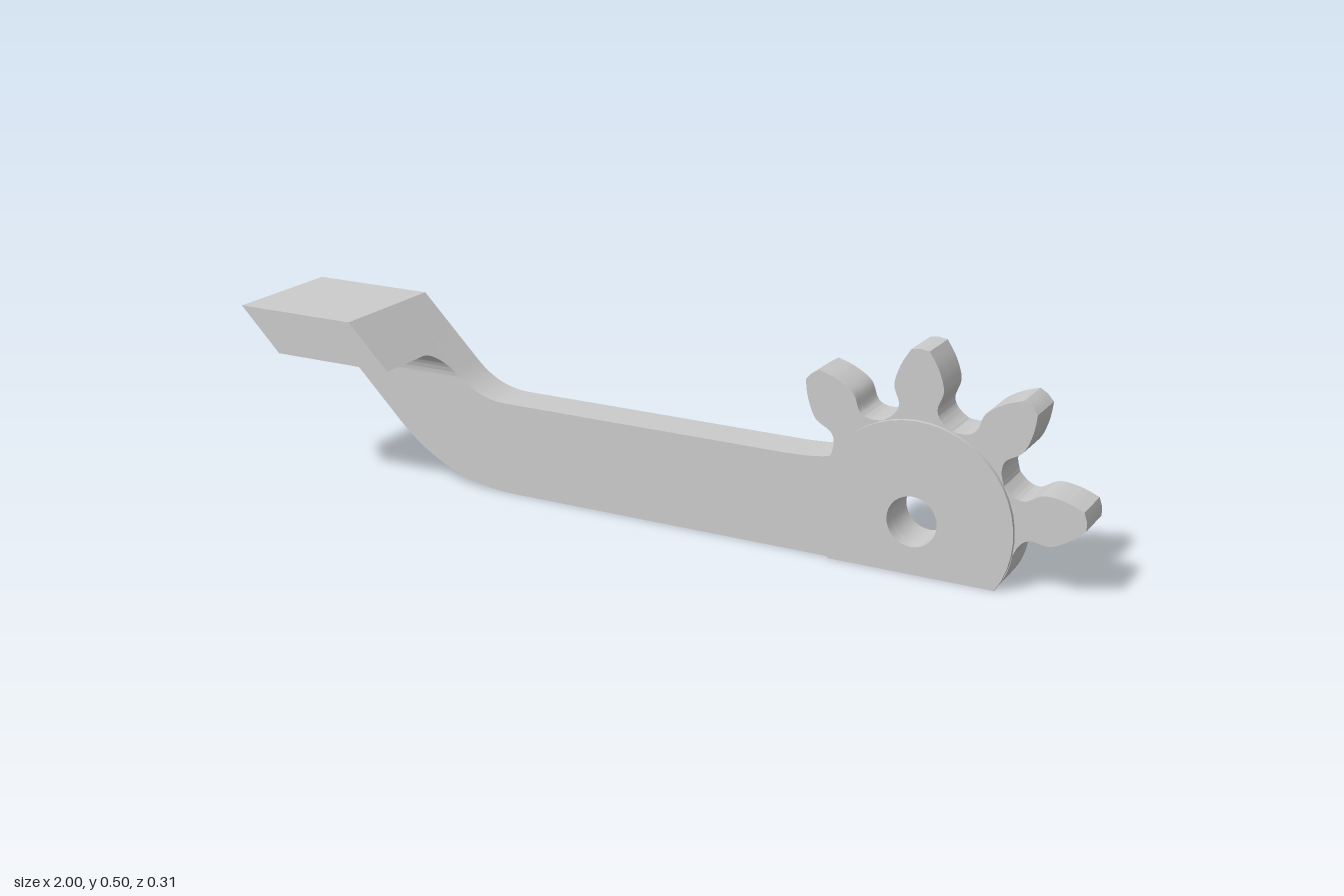
import * as THREE from 'three';
import { toCreasedNormals } from 'three/addons/utils/BufferGeometryUtils.js';

const HUB = new THREE.Vector2(0.622, 0.12);
const ROOT_R = 0.225;
const BACK = -0.154, FRONT = -0.05, POCKET_FLOOR = -0.075, BOSS_FRONT = -0.04;
const material = new THREE.MeshStandardMaterial({ color: 0xcccccc });

// Point at a radius and sideways offset on a tooth pointing along angle
function polar(angle, r, side = 0) {
  return new THREE.Vector2(r, side).rotateAround(new THREE.Vector2(), angle).add(HUB);
}

function makeMesh(name, geometry) {
  const mesh = new THREE.Mesh(toCreasedNormals(geometry, 0.5), material);
  mesh.name = name;
  return mesh;
}

function slab(name, shape, z0, z1) {
  const geo = new THREE.ExtrudeGeometry(shape, { depth: z1 - z0, bevelEnabled: false, curveSegments: 16 });
  return makeMesh(name, geo.translate(0, 0, z0));
}

function addAxleHole(shape) {
  shape.holes.push(new THREE.Path().absarc(HUB.x, HUB.y, 0.057, 0, Math.PI * 2, true));
}

// Both flanks of one tooth, from valley to valley
function toothPoints(angle) {
  const half = Math.PI / 9;
  const flank = [
    [ROOT_R * Math.cos(half), ROOT_R * Math.sin(half)],
    [0.23, 0.053], [0.255, 0.043], [0.295, 0.055], [0.34, 0.042], [0.377, 0.02],
  ];
  const side = (s) => new THREE.SplineCurve(flank.map(([r, w]) => polar(angle, r, s * w))).getPoints(25);
  return [...side(-1), polar(angle, 0.38), ...side(1).reverse()];
}

// Bent arm and toothed end as one outline
function armShape() {
  const shape = new THREE.Shape();
  shape.moveTo(-1, 0.43);
  shape.lineTo(-0.704, 0.134);
  shape.quadraticCurveTo(-0.57, 0, -0.38, 0);
  shape.lineTo(0.81, 0);
  const valley = polar(-Math.PI / 18, ROOT_R);
  shape.quadraticCurveTo(0.838, 0.035, valley.x, valley.y);
  for (const deg of [10, 50, 90, 130]) {
    for (const p of toothPoints(THREE.MathUtils.degToRad(deg)).slice(deg === 10 ? 1 : 0)) {
      if (p.distanceTo(shape.currentPoint) > 1e-5) shape.lineTo(p.x, p.y);
    }
  }
  shape.quadraticCurveTo(0.39, 0.222, 0.3, 0.222);
  shape.lineTo(-0.4, 0.222);
  shape.quadraticCurveTo(-0.48, 0.222, -0.54, 0.28);
  shape.lineTo(-0.69, 0.43);
  shape.closePath();
  addAxleHole(shape);
  return shape;
}

// Square pocket centred beside the axle hole
function pocket(dx, h = 0.053) {
  const x = HUB.x + dx, y = HUB.y;
  return new THREE.Path([[-h, -h], [-h, h], [h, h], [h, -h], [-h, -h]]
    .map(([a, b]) => new THREE.Vector2(x + a, y + b)));
}

// Slanted tab: side profile swept along x and sheared to follow the bend
function tipTab() {
  const r = 0.062, bottom = 0.327, top = 0.43;
  const shape = new THREE.Shape();
  shape.moveTo(-0.154, bottom);
  shape.lineTo(-FRONT - r, bottom);
  shape.absarc(-FRONT - r, bottom - r, r, Math.PI / 2, 0, true);
  shape.lineTo(-FRONT, top);
  shape.lineTo(-0.154, top);
  shape.closePath();
  const geo = new THREE.ExtrudeGeometry(shape, { depth: 0.31, bevelEnabled: false, curveSegments: 16 });
  geo.applyMatrix4(new THREE.Matrix4().set(
    0, -1, 1, -0.57,
    0, 1, 0, 0,
    -1, 0, 0, 0,
    0, 0, 0, 1));
  return makeMesh('tipTab', geo);
}

// Round boss cut flat at the base
function bossShape() {
  const shape = new THREE.Shape();
  const a = Math.asin(HUB.y / ROOT_R);
  shape.absarc(HUB.x, HUB.y, ROOT_R, -a, Math.PI + a, false);
  shape.closePath();
  addAxleHole(shape);
  return shape;
}

export function createModel() {
  const group = new THREE.Group();
  group.name = 'gearLever';

  // The back layer holds the pockets, the front layer closes them
  const backShape = armShape();
  for (const s of [-1, 1]) backShape.holes.push(pocket(s * 0.154));
  group.add(slab('armBackLayer', backShape, BACK, POCKET_FLOOR));
  group.add(slab('armFrontLayer', armShape(), POCKET_FLOOR, FRONT));

  group.add(slab('hubBoss', bossShape(), FRONT, BOSS_FRONT));
  group.add(tipTab());
  return group;
}
